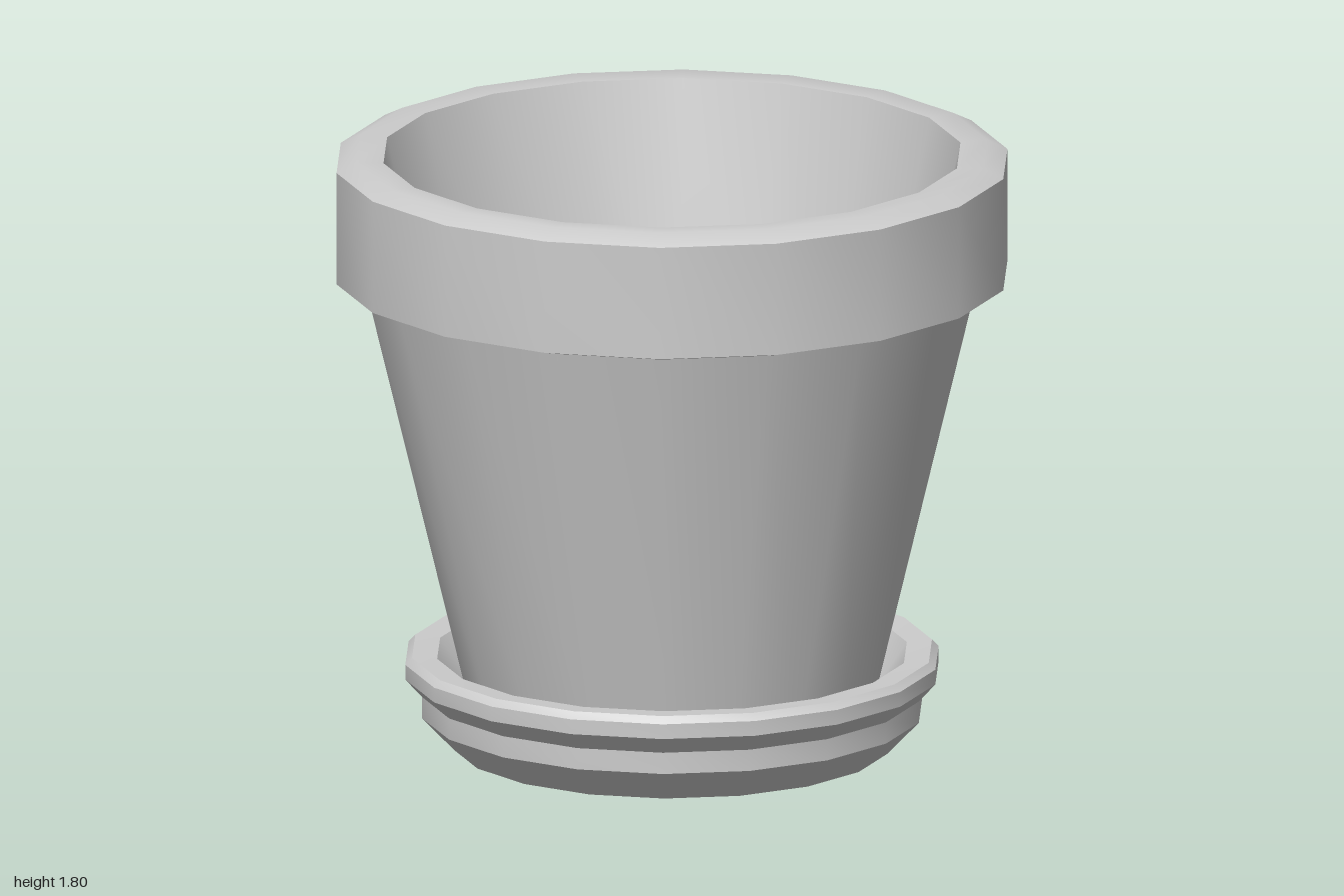
import * as THREE from 'three';
import { toCreasedNormals } from 'three/addons/utils/BufferGeometryUtils.js';

const SIDES = 18;
const material = new THREE.MeshStandardMaterial({ color: 0xcccccc });

// Turns a [radius, height] profile, listed outside-up then inside-down, into a named mesh
function turned(name, profile) {
  const points = profile.map(([r, y]) => new THREE.Vector2(r, y));
  const lathe = new THREE.LatheGeometry(points, SIDES, Math.PI / 2);
  const mesh = new THREE.Mesh(toCreasedNormals(lathe, THREE.MathUtils.degToRad(40)), material);
  mesh.name = name;
  return mesh;
}

export function createModel() {
  const group = new THREE.Group();
  group.name = 'flowerPotWithSaucer';

  // Tapered pot with a thick bevelled collar and a hollow inside
  group.add(turned('pot', [
    [0, 0.12], [0.6, 0.12],
    [0.91, 1.41], [1, 1.435], [1, 1.775], [0.94, 1.805],
    [0.86, 1.8], [0.675, 1.0], [0, 1.0],
  ]));

  // Shallow saucer with a flared lip
  group.add(turned('saucer', [
    [0, 0], [0.65, 0],
    [0.745, 0.1], [0.745, 0.165], [0.795, 0.22], [0.795, 0.265], [0.775, 0.285],
    [0.7, 0.28], [0.61, 0.15], [0, 0.15],
  ]));

  return group;
}
